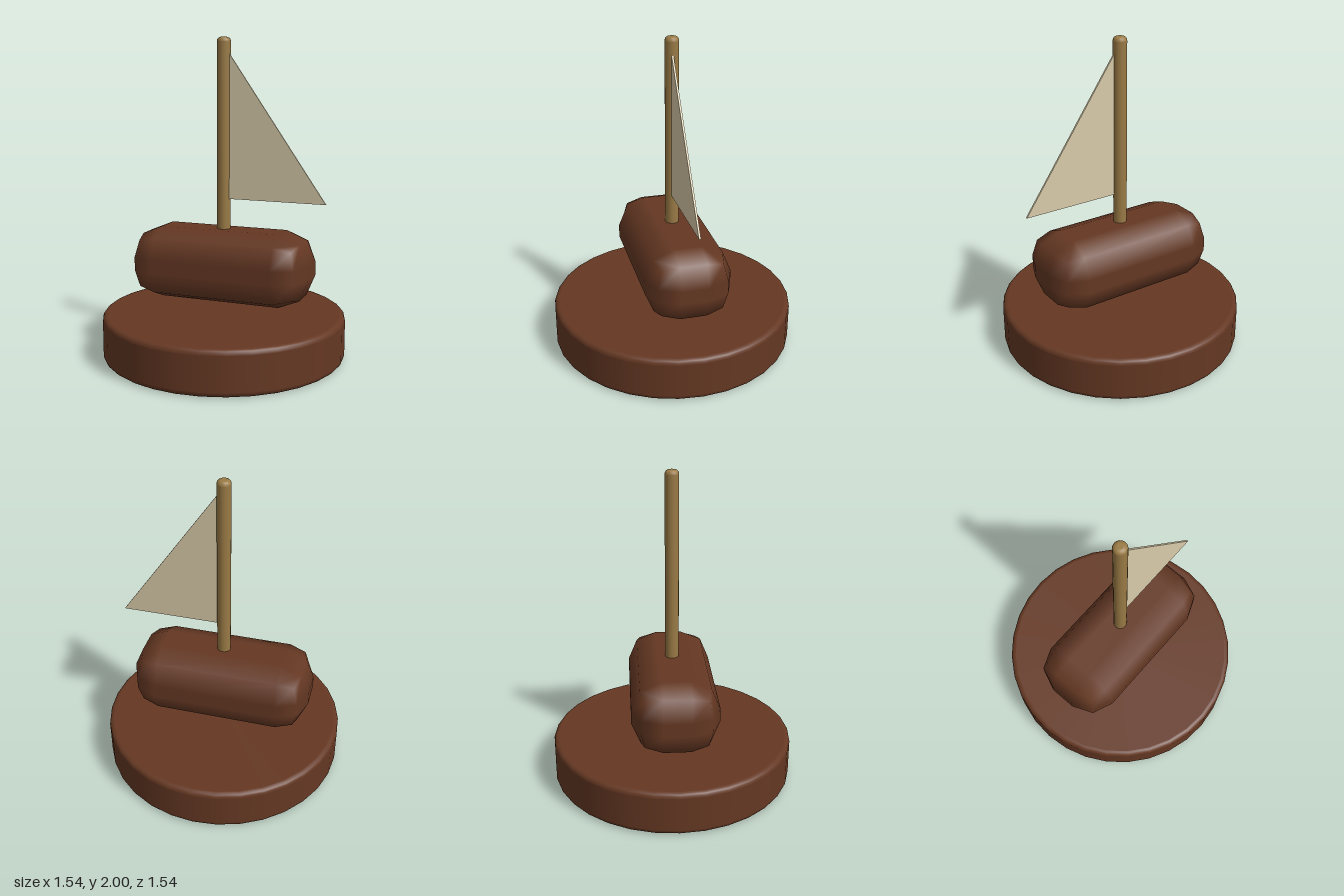
import * as THREE from 'three';
import { RoundedBoxGeometry } from 'three/addons/geometries/RoundedBoxGeometry.js';

const wood = new THREE.MeshStandardMaterial({ name: 'dark wood', color: 0x653823 });
const mastWood = new THREE.MeshStandardMaterial({ name: 'light wood', color: 0x997a45 });
const cloth = new THREE.MeshStandardMaterial({ name: 'sail cloth', color: 0xd8cba9 });

// Upright cylinder with softly rounded rims; extra rings keep the flats flat
function roundedCylinder(radius, y0, y1, bevel, sides) {
  const steps = 4, core = radius - bevel, eps = bevel * 0.05;
  const points = [new THREE.Vector2(0, y0), new THREE.Vector2(core - eps, y0)];
  const arc = (centreY, start) => {
    for (let i = 0; i <= steps; i++) {
      const a = start + (i / steps) * Math.PI / 2;
      points.push(new THREE.Vector2(core + bevel * Math.cos(a), centreY + bevel * Math.sin(a)));
    }
  };
  arc(y0 + bevel, -Math.PI / 2);
  points.push(new THREE.Vector2(radius, y0 + bevel + eps), new THREE.Vector2(radius, y1 - bevel - eps));
  arc(y1 - bevel, 0);
  points.push(new THREE.Vector2(core - eps, y1), new THREE.Vector2(0, y1));
  return new THREE.LatheGeometry(points, sides);
}

export function createModel() {
  const model = new THREE.Group();
  model.name = 'toyBoat';
  const add = (name, geometry, material) => {
    const mesh = new THREE.Mesh(geometry, material);
    mesh.name = name;
    model.add(mesh);
    return mesh;
  };

  // Round base
  add('base', roundedCylinder(0.77, 0, 0.28, 0.03, 32), wood);

  // Hull: chunky rounded block floating above the base
  add('hull', new RoundedBoxGeometry(1.154, 0.456, 0.54, 1, 0.186), wood).position.y = 0.587;

  // Mast rising from the hull
  add('mast', roundedCylinder(0.043, 0.76, 2, 0.025, 16), mastWood);

  // Triangular sail on the model's left of the mast
  const outline = new THREE.Shape([
    new THREE.Vector2(0.035, 1.005),
    new THREE.Vector2(0.659, 1.005),
    new THREE.Vector2(0.035, 1.905),
  ]);
  add('sail', new THREE.ExtrudeGeometry(outline, { depth: 0.012, bevelEnabled: false }), cloth);

  return model;
}
